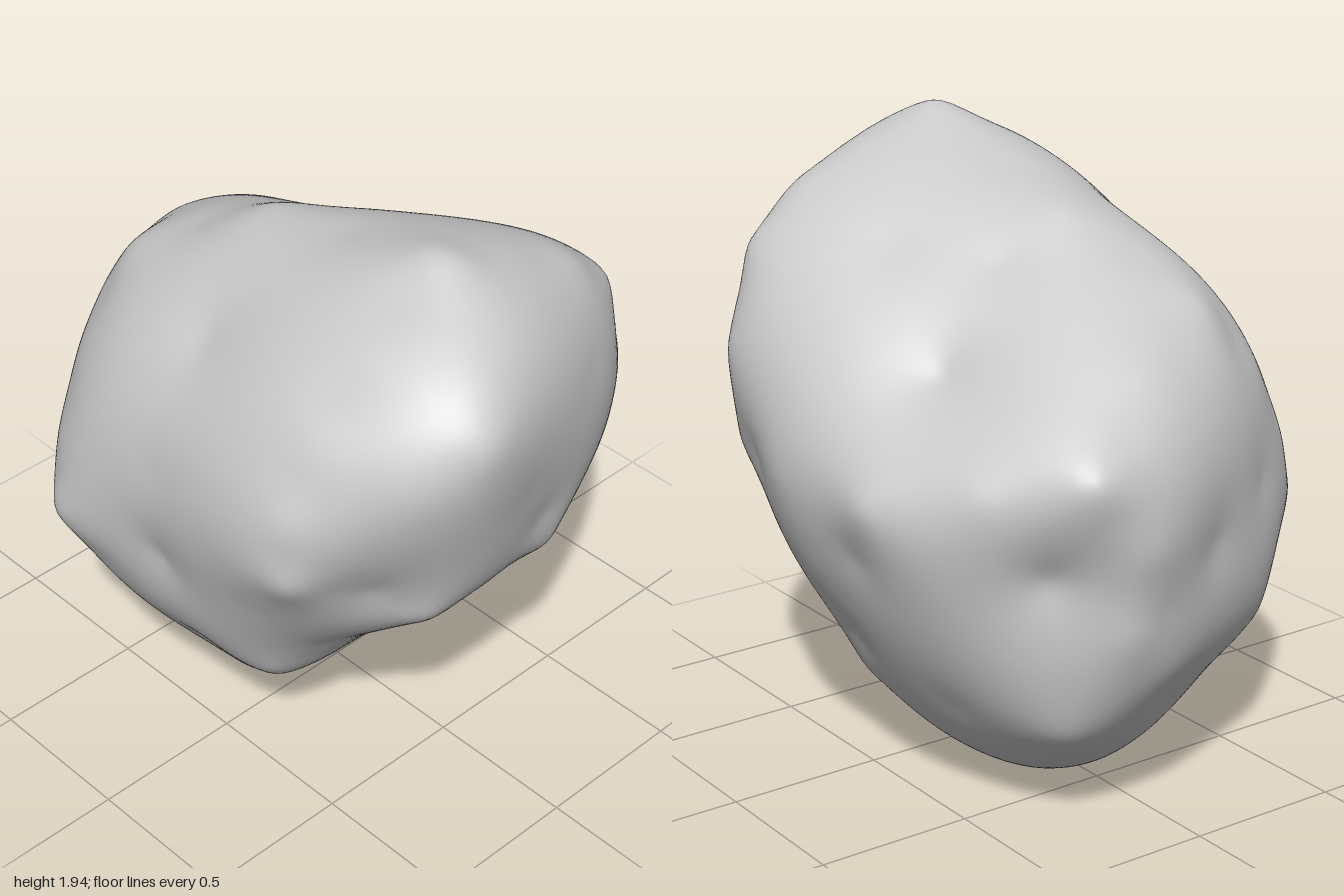
import * as THREE from 'three';
import { mergeVertices } from 'three/addons/utils/BufferGeometryUtils.js';

// Corners where the broken faces of the boulder meet
const topLeftBack = [-0.97, 1.17, -0.38], topLeftFront = [-0.61, 1.49, 0.3];
const topRightFront = [0.54, 1.94, 0.13], topRightBack = [0.58, 1.56, -0.56];
const frontLeft = [-0.46, 0.78, 0.78], frontRight = [0.6, 1.1, 0.77];
const rightLow = [0.78, 0.88, 0.38], rightBack = [0.62, 1, -0.55];
const backRight = [0.55, 0.94, -0.62], backLeft = [-0.37, 1, -0.77];
const backLow = [0.05, 0.3, -0.49], frontLow = [0.11, 0.28, 0.45];
const tip = [-0.07, 0.02, -0.03], leftLow = [-0.68, 0.22, 0.08];

// Ridges between the corners
const RIDGES = [
  [topLeftBack, [-0.8, 1.38, -0.04], topLeftFront],
  [topLeftFront, [-0.2, 1.73, 0.08], [0.15, 1.8, 0.1], topRightFront],
  [topRightFront, [0.6, 1.84, -0.12], [0.61, 1.73, -0.36], topRightBack],
  [topLeftFront, [-0.59, 1.25, 0.53], [-0.53, 1, 0.69], frontLeft],
  [topRightFront, [0.57, 1.78, 0.46], [0.59, 1.58, 0.67], [0.6, 1.33, 0.78], frontRight],
  [frontRight, [0.38, 0.87, 0.72], [0.28, 0.45, 0.55], frontLow],
  [frontRight, [0.7, 1.03, 0.53], rightLow],
  [rightLow, [0.82, 0.92, -0.08], rightBack],
  [topRightBack, [0.66, 1.28, -0.55], rightBack, backRight],
  [rightLow, [0.46, 0.63, 0.45], [0.25, 0.38, 0.5], frontLow],
  [backRight, [0.3, 0.61, -0.57], backLow],
  [backRight, [0.1, 0.98, -0.77], backLeft],
  [backLeft, [-0.15, 0.62, -0.67], backLow],
  [backLeft, [-0.7, 1.09, -0.6], topLeftBack],
  [backLow, [0, 0.13, -0.28], tip, [0.03, 0.14, 0.25], frontLow],
  [frontLeft, [-0.12, 0.54, 0.67], frontLow],
  [frontLeft, [-0.69, 0.5, 0.48], leftLow],
  [topLeftBack, [-1, 0.92, -0.18], [-0.9, 0.5, -0.03], leftLow],
];

// Single points that hollow or swell the faces
const FACE_POINTS = [
  [-0.3, 1.32, -0.43], [0.1, 1.62, -0.34], [-0.2, 1.6, -0.15], // top
  [0, 1.2, 0.76], [0, 1.55, 0.53], [0, 0.85, 0.73], // front
  [-0.4, 0.33, 0.5], [-0.3, 0.14, 0.27], [-0.5, 0.06, 0.02], [-0.25, 0, 0], // lower front and base
  [1, 1.62, 0.37], [0.9, 1.76, 0.28], [0.71, 1.88, 0.15], [0.9, 1.48, 0.55], // right peak
  [0.93, 1.3, 0.13], [0.83, 1.5, -0.23], [0.86, 1.1, 0], // right
  [0.55, 0.74, 0], [0.35, 0.53, 0], [0.15, 0.26, 0], // underside
  [-0.88, 0.85, 0.13], [-0.74, 0.95, 0.43], // left
  [0.48, 1.27, -0.7], // back
  [-0.8, 0.84, -0.41], [-0.95, 0.65, -0.22], [-0.78, 0.32, -0.34], [-0.45, 0.35, -0.5], [-0.5, 0.1, -0.25], // back left
];

const CENTRE = new THREE.Vector3(0, 0.95, 0);
const kernel = (a, b) => -Math.sqrt(a.distanceToSquared(b) + 0.002);

// Control points: the face points plus each ridge sampled at half steps
function controlPoints() {
  const points = FACE_POINTS.map((p) => new THREE.Vector3(...p));
  for (const ridge of RIDGES) {
    const path = ridge.map((p) => new THREE.Vector3(...p));
    path.forEach((p, i) => {
      points.push(p);
      if (i > 0) points.push(p.clone().lerp(path[i - 1], 0.5));
    });
  }
  return points;
}

// Gaussian elimination with pivoting; each row ends with its right-hand side
function solve(m) {
  const n = m.length;
  for (let c = 0; c < n; c++) {
    let p = c;
    for (let r = c + 1; r < n; r++) if (Math.abs(m[r][c]) > Math.abs(m[p][c])) p = r;
    [m[c], m[p]] = [m[p], m[c]];
    for (let r = 0; r < n; r++) {
      if (r === c) continue;
      const f = m[r][c] / m[c][c];
      for (let k = c; k <= n; k++) m[r][k] -= f * m[c][k];
    }
  }
  return m.map((row, i) => row[n] / row[i]);
}

// Smooth radius over all directions; working in 1/r keeps the faces flat
function makeRadius() {
  const offsets = controlPoints().map((p) => p.sub(CENTRE));
  const dirs = offsets.map((o) => o.clone().normalize());
  const rows = dirs.map((d, i) => [
    ...dirs.map((e, j) => kernel(d, e) - (i === j ? -0.015 : 0)),
    1, d.x, d.y, d.z, 1 / offsets[i].length(),
  ]);
  for (const f of [() => 1, (d) => d.x, (d) => d.y, (d) => d.z]) rows.push([...dirs.map(f), 0, 0, 0, 0, 0]);
  const w = solve(rows);
  const n = dirs.length;
  return (d) => {
    let s = w[n] + w[n + 1] * d.x + w[n + 2] * d.y + w[n + 3] * d.z;
    for (let i = 0; i < n; i++) s += w[i] * kernel(d, dirs[i]);
    return 1 / s;
  };
}

export function createModel() {
  const group = new THREE.Group();
  group.name = 'boulder';

  // Dense ball with shared vertices, pushed out to the boulder's radius
  let geo = new THREE.IcosahedronGeometry(1, 40);
  geo.deleteAttribute('uv');
  geo.deleteAttribute('normal');
  geo = mergeVertices(geo, 1e-5);
  const radius = makeRadius();
  const pos = geo.attributes.position;
  const v = new THREE.Vector3();
  for (let i = 0; i < pos.count; i++) {
    v.fromBufferAttribute(pos, i).normalize();
    v.multiplyScalar(radius(v)).add(CENTRE);
    pos.setXYZ(i, v.x, v.y, v.z);
  }

  // Stand it on the ground
  geo.computeBoundingBox();
  geo.translate(0, -geo.boundingBox.min.y, 0);
  geo.computeVertexNormals();

  const rock = new THREE.Mesh(geo, new THREE.MeshStandardMaterial({ color: 0xcccccc }));
  rock.name = 'rock';
  group.add(rock);
  return group;
}
